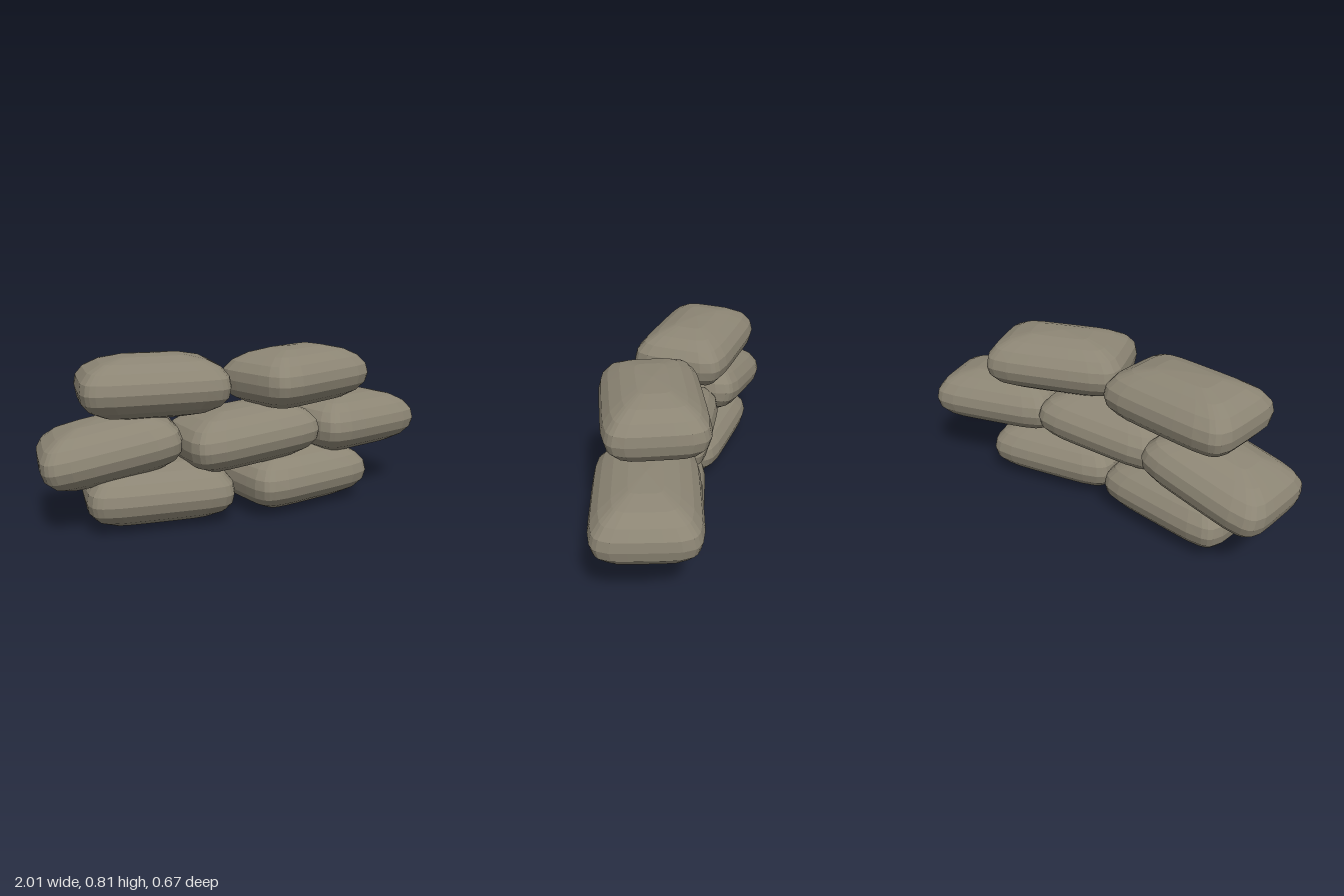
import * as THREE from 'three';

// Stuffed bag: a sphere reshaped to a rounded-rectangle plan with bulging sides
function bagGeometry(halfLength, halfHeight, halfDepth) {
  const geo = new THREE.SphereGeometry(1, 32, 10);
  const pos = geo.attributes.position, uv = geo.attributes.uv;
  const ease = (v) => Math.sin(v * Math.PI / 2);
  for (let i = 0; i < pos.count; i++) {
    const y = pos.getY(i), t = Math.min(1, Math.abs(y));
    const k = Math.round(uv.getX(i) * 32);
    // The two pole rows have shifted uv values, but their plan scale is zero
    const a = k / 32 * Math.PI * 2;
    const c = -Math.cos(a), s = Math.sin(a), m = Math.max(Math.abs(c), Math.abs(s));
    const u = ease(c / m), v = ease(s / m);
    const r = Math.pow(u ** 6 + v ** 6, 1 / 6);
    const scaleX = Math.pow(Math.max(0, 1 - t ** 2.5), 0.4);
    const scaleZ = Math.sqrt(Math.max(0, 1 - t * t));
    pos.setXYZ(i, halfLength * scaleX * u / r, halfHeight * y, halfDepth * scaleZ * v / r);
  }
  // Separate faces give the faceted look
  const faceted = geo.toNonIndexed();
  faceted.computeVertexNormals();
  return faceted;
}

export function createModel() {
  const group = new THREE.Group();
  group.name = 'sandbagStack';
  const burlap = new THREE.MeshStandardMaterial({ color: 0x8c8574 });
  burlap.name = 'burlap';
  const geometry = bagGeometry(0.352, 0.152, 0.243);

  // name, centre, yaw and roll in degrees, length scale
  const bags = [
    ['bottomRightBag', [-0.445, 0.148, 0], -7, 0, 1],
    ['bottomLeftBag', [0.288, 0.148, 0.015], 11, 0, 1],
    ['middleRightBag', [-0.665, 0.367, -0.045], -6, 10, 0.94],
    ['middleCentreBag', [-0.012, 0.388, 0.035], 5, 4, 0.99],
    ['middleLeftBag', [0.64, 0.384, -0.05], 15.5, -1, 0.97],
    ['topRightBag', [-0.452, 0.654, -0.018], -7, 0, 1],
    ['topLeftBag', [0.298, 0.654, 0.014], 20, 0, 1],
  ];
  for (const [name, centre, yaw, roll, length] of bags) {
    const bag = new THREE.Mesh(geometry, burlap);
    bag.name = name;
    bag.position.set(...centre);
    bag.rotation.order = 'ZYX';
    bag.rotation.set(0, THREE.MathUtils.degToRad(yaw), THREE.MathUtils.degToRad(roll));
    bag.scale.x = length;
    group.add(bag);
  }
  return group;
}
